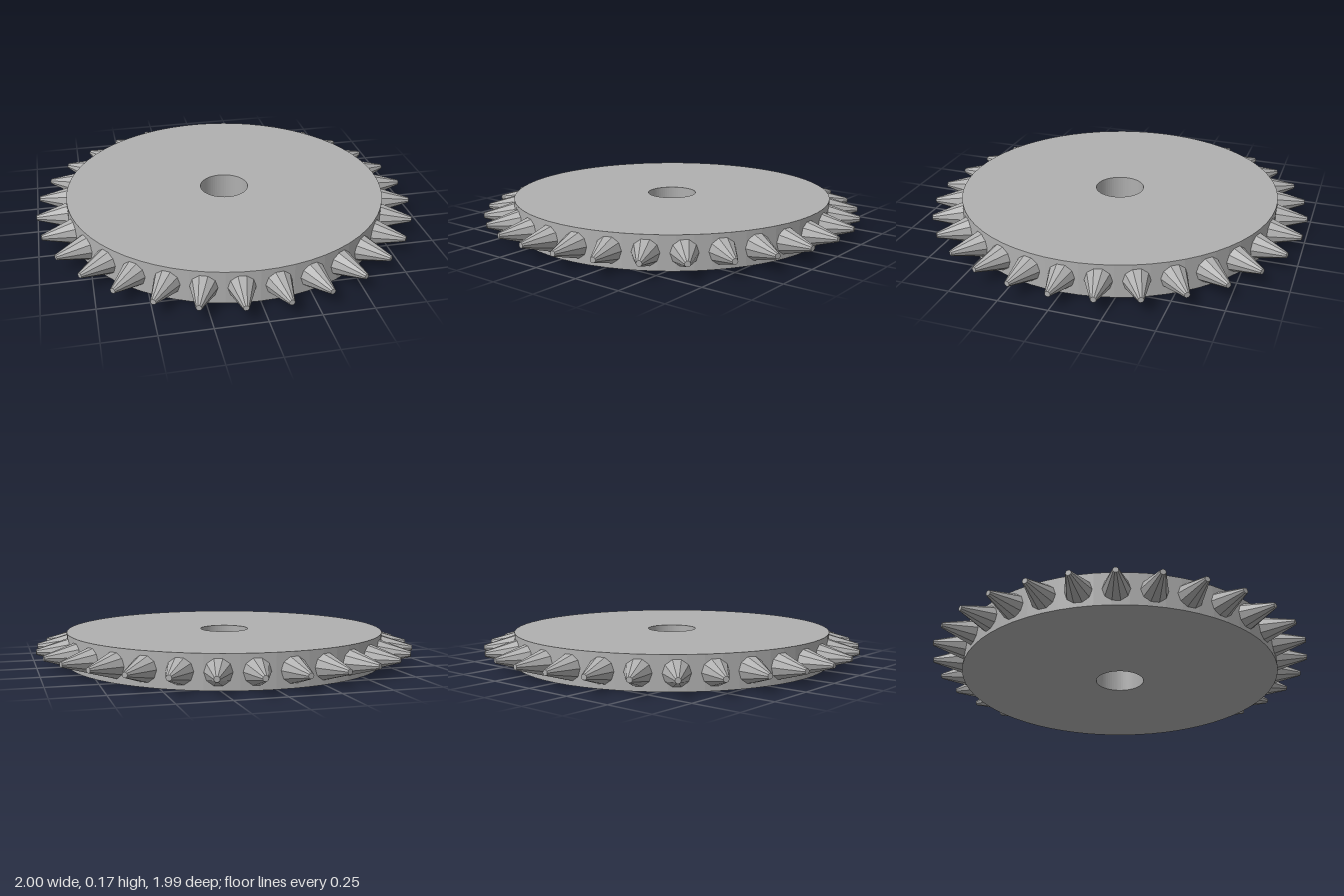
import * as THREE from 'three';

export function createModel() {
  const group = new THREE.Group();
  group.name = 'spikedWheel';
  const steel = new THREE.MeshStandardMaterial({ color: 0xb0b0b0, flatShading: true });
  steel.name = 'steel grey';

  const height = 0.17, radius = 0.84, bore = 0.127;

  // Flat disc with a round hole through the middle
  const profile = [[bore, 0], [radius, 0], [radius, height], [bore, height], [bore, 0]]
    .map(([x, y]) => new THREE.Vector2(x, y));
  const disc = new THREE.Mesh(new THREE.LatheGeometry(profile, 64), steel);
  disc.name = 'disc';
  group.add(disc);

  // Ring of blunt cone spikes, rooted slightly inside the rim
  const count = 30, root = 0.82, tip = 1;
  const spikeGeometry = new THREE.CylinderGeometry(0.014, 0.071, tip - root, 10);
  spikeGeometry.rotateZ(-Math.PI / 2);
  spikeGeometry.translate((root + tip) / 2, height / 2, 0);
  const spikes = new THREE.Group();
  spikes.name = 'spikes';
  for (let i = 0; i < count; i++) {
    const spike = new THREE.Mesh(spikeGeometry, steel);
    spike.name = 'spike';
    spike.rotation.y = (i / count) * Math.PI * 2;
    spikes.add(spike);
  }
  group.add(spikes);
  return group;
}
